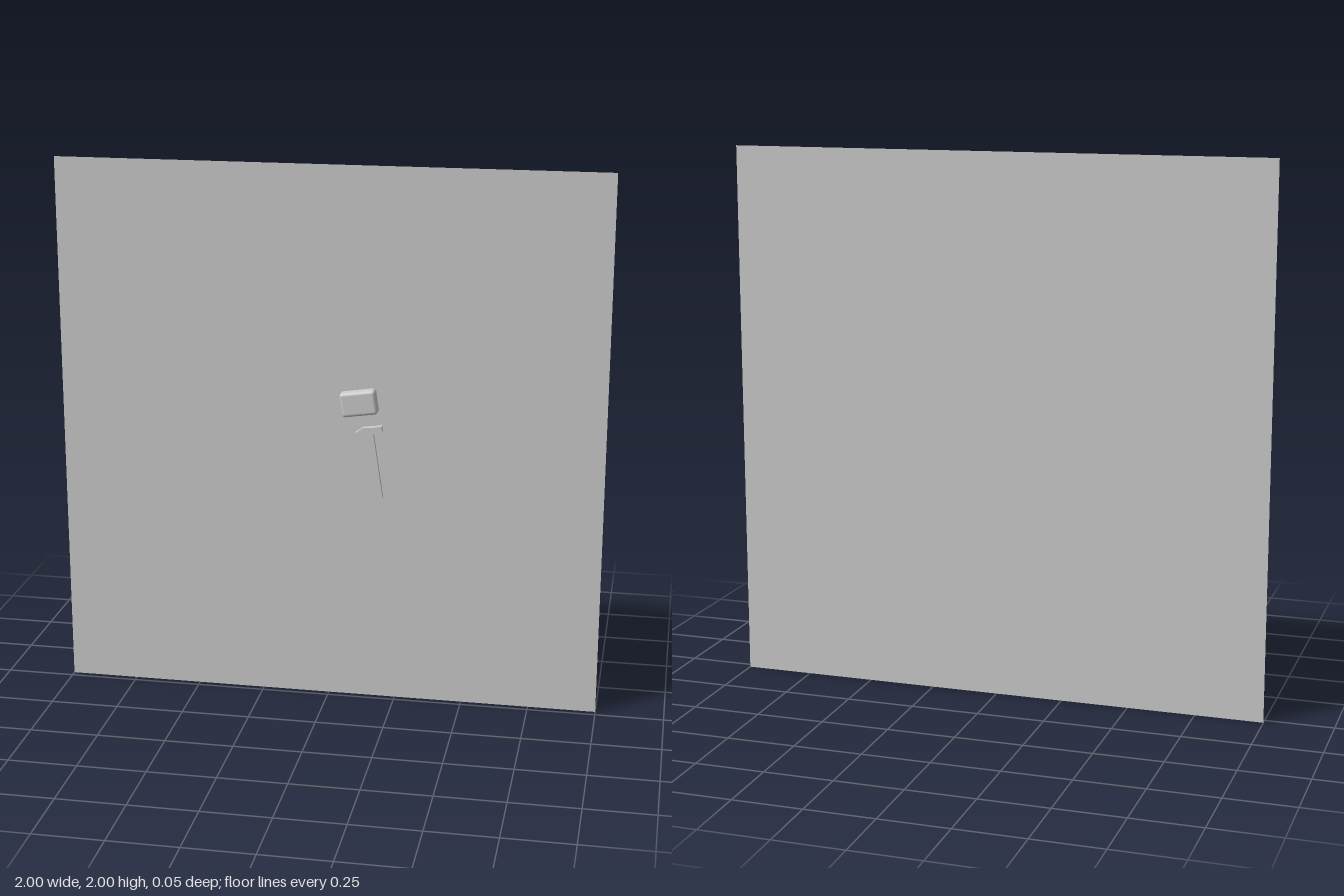
import * as THREE from 'three';
import { RoundedBoxGeometry } from 'three/addons/geometries/RoundedBoxGeometry.js';

export function createModel() {
  const model = new THREE.Group();
  const tilt = 0.148;
  const smooth = new THREE.MeshStandardMaterial({ color: 0xcccccc });
  const flat = new THREE.MeshStandardMaterial({ color: 0xcccccc, flatShading: true });
  const add = (parent, name, geometry, material, x, y, z) => {
    const mesh = new THREE.Mesh(geometry, material);
    mesh.name = name;
    mesh.position.set(x, y, z);
    parent.add(mesh);
    return mesh;
  };

  // Thin square backdrop, visible from both sides
  const sheet = new THREE.MeshStandardMaterial({ color: 0xcccccc, side: THREE.DoubleSide });
  add(model, 'backPanel', new THREE.PlaneGeometry(2, 2), sheet, 0, 1, -0.025);

  // Rounded block, tilted like the hammer below it
  const block = add(model, 'roundedBlock',
    new RoundedBoxGeometry(0.131, 0.09, 0.049, 3, 0.012), smooth, 0.115, 1.148, 0);
  block.rotation.z = tilt;

  // Hammer, with its origin at the foot of the handle
  const hammer = new THREE.Group();
  hammer.name = 'hammer';
  hammer.position.set(0.19, 0.787, -0.0145);
  hammer.rotation.z = tilt;
  model.add(hammer);
  add(hammer, 'handle', new THREE.BoxGeometry(0.024, 0.255, 0.016), flat, 0, 0.1275, 0);

  // Head with a wedge on one side and a square face on the other
  const profile = new THREE.Shape([
    [-0.054, 0.251], [0.012, 0.247], [0.045, 0.249], [0.047, 0.271],
    [0.015, 0.27], [-0.021, 0.272], [-0.054, 0.256],
  ].map(([x, y]) => new THREE.Vector2(x, y)));
  const depth = 0.021;
  add(hammer, 'hammerHead',
    new THREE.ExtrudeGeometry(profile, { depth, bevelEnabled: false }), flat, 0, 0, -depth / 2);

  return model;
}
